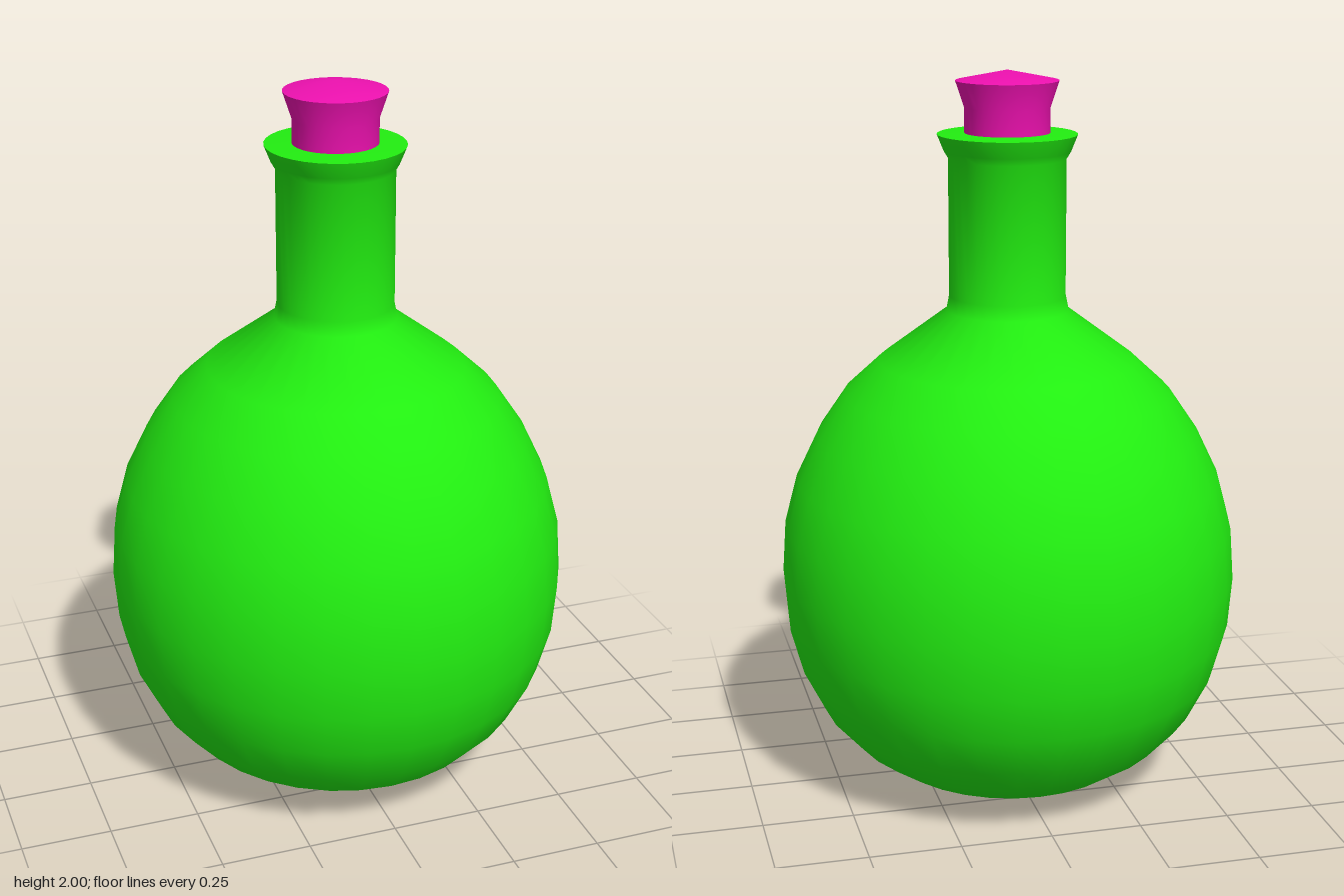
import * as THREE from 'three';
import { toCreasedNormals } from 'three/addons/utils/BufferGeometryUtils.js';

// Smooth turned solid that keeps its sharp rims; depth stretches it along z
function turned(name, profile, color, depth = 1) {
  const points = profile.map(([r, y]) => new THREE.Vector2(r, y));
  const geometry = new THREE.LatheGeometry(points, 32);
  geometry.scale(1, 1, depth);
  const material = new THREE.MeshStandardMaterial({ color });
  const mesh = new THREE.Mesh(toCreasedNormals(geometry, 1.05), material);
  mesh.name = name;
  return mesh;
}

export function createModel() {
  const group = new THREE.Group();
  group.name = 'flask';

  // Round belly, straight neck and flared lip, slightly deeper than wide
  group.add(turned('bottle', [
    [0, 0], [0.24, 0.02], [0.355, 0.053], [0.45, 0.12], [0.53, 0.21],
    [0.59, 0.33], [0.625, 0.46], [0.636, 0.6], [0.626, 0.745], [0.59, 0.88],
    [0.53, 1.005], [0.452, 1.12], [0.355, 1.21], [0.168, 1.35],
    [0.16, 1.39], [0.16, 1.765], [0.172, 1.785], [0.19, 1.83], [0, 1.838],
  ], 0x22ee11, 1.04));

  // Stopper with a flared, slightly domed head
  group.add(turned('stopper', [
    [0, 1.8], [0.116, 1.8], [0.116, 1.9], [0.14, 1.972], [0, 2],
  ], 0xee11b0));

  return group;
}
